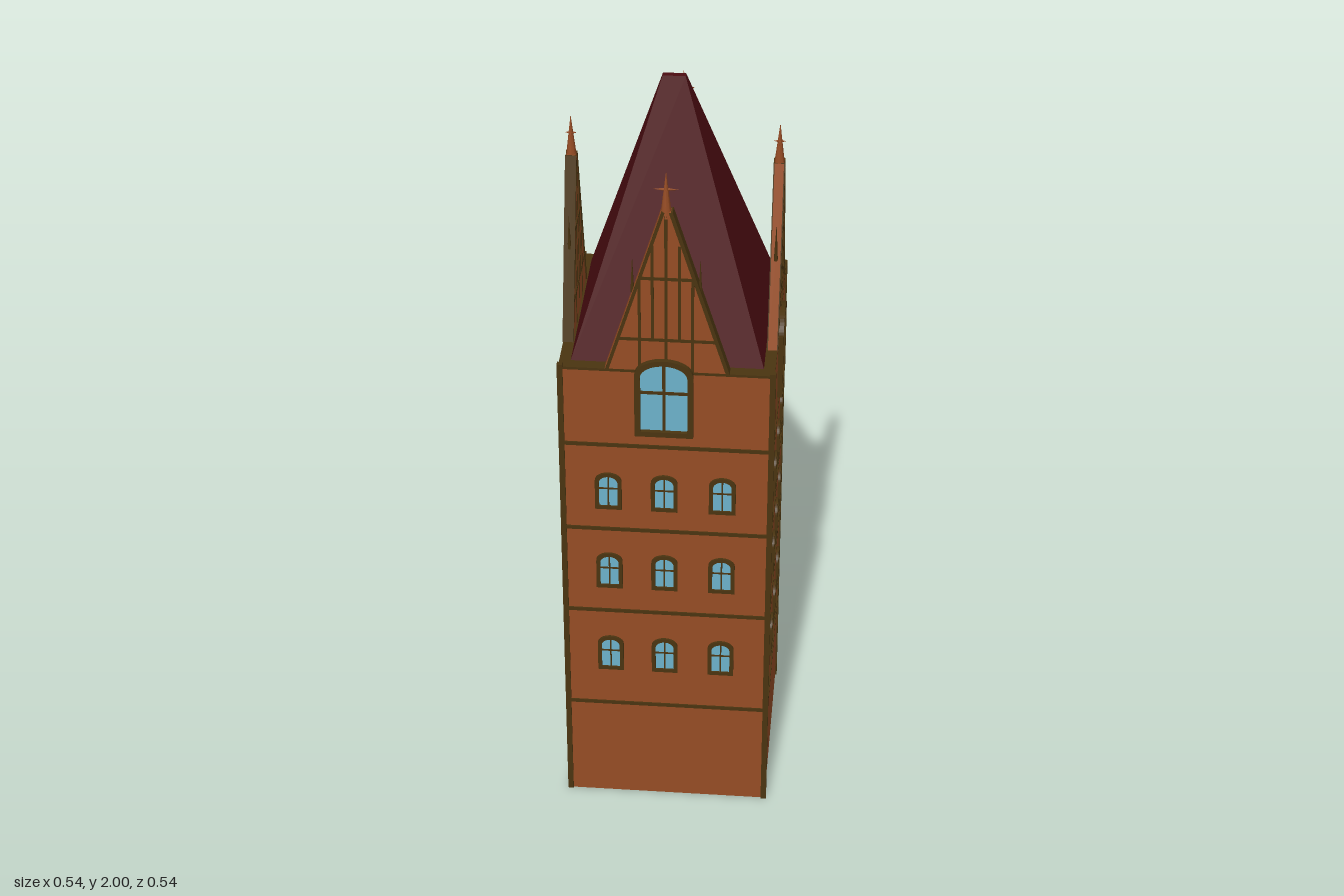
import * as THREE from 'three';

const mat = (name, color, side = THREE.FrontSide) => {
  const m = new THREE.MeshStandardMaterial({ color, side });
  m.name = name;
  return m;
};

export function createModel() {
  const brick = mat('brick', 0x964c24, THREE.DoubleSide);
  const timber = mat('timber', 0x4a3410);
  const glass = mat('glass', 0x6cb2ca);
  const tile = mat('roof tile', 0x4c0d11);

  const W = 0.2585;            // distance from the axis to each wall
  const EAVE = 1.34;           // top of the walls
  const GABLE = 0.022;         // gable thickness

  const add = (parent, name, geo, m, x = 0, y = 0, z = 0) => {
    const mesh = new THREE.Mesh(geo, m);
    mesh.name = name;
    mesh.position.set(x, y, z);
    parent.add(mesh);
    return mesh;
  };
  const box = (parent, name, w, h, d, m, x, y, z) =>
    add(parent, name, new THREE.BoxGeometry(w, h, d), m, x, y, z);

  // Rectangle with a low arched head, base centred on the origin
  const trace = (path, w, h, rise, y0 = 0) => {
    path.moveTo(-w / 2, y0);
    path.lineTo(w / 2, y0);
    path.lineTo(w / 2, h - rise);
    path.absellipse(0, h - rise, w / 2, rise, 0, Math.PI, false);
    path.lineTo(-w / 2, y0);
    return path;
  };

  // Arched window: projecting surround, pane and glazing bars
  const archWindow = (parent, name, x, y, w, h, rise, t, out, barY) => {
    const g = new THREE.Group();
    g.name = name;
    g.position.set(x, y, W);
    parent.add(g);
    const outer = trace(new THREE.Shape(), w, h, rise);
    outer.holes.push(trace(new THREE.Path(), w - 2 * t, h - t, rise * 0.8, t));
    add(g, 'surround', new THREE.ExtrudeGeometry(outer,
      { depth: out + 0.002, bevelEnabled: false, curveSegments: 10 }), timber, 0, 0, -0.002);
    const pane = trace(new THREE.Shape(), w - 1.6 * t, h - 0.8 * t, rise * 0.8, 0.8 * t);
    add(g, 'pane', new THREE.ShapeGeometry(pane, 10), glass, 0, 0, 0.002);
    const bar = w * 0.055;
    box(g, 'mullion', bar, h - t, 0.003, timber, 0, h / 2, 0.003);
    box(g, 'transom', w - t, bar, 0.003, timber, 0, barY, 0.003);
  };

  const buildGable = (side) => {
    const g = new THREE.Group();
    g.name = 'gable';
    side.add(g);
    const s = new THREE.Shape();
    s.moveTo(-0.148, EAVE);
    s.lineTo(0.148, EAVE);
    s.lineTo(0.012, 1.78);
    s.lineTo(-0.012, 1.78);
    const zc = W - GABLE / 2;
    add(g, 'gableWall', new THREE.ExtrudeGeometry(s, { depth: GABLE, bevelEnabled: false }),
      brick, 0, 0, W - GABLE);

    // Sloping trims: full coping on the right, face trim on the left
    const slope = Math.atan2(0.136, 0.44), len = Math.hypot(0.136, 0.44);
    box(g, 'rightCoping', 0.009, len, GABLE + 0.005, timber, 0.08, 1.56, zc).rotation.z = slope;
    box(g, 'leftTrim', 0.008, len, GABLE + 0.005, timber, -0.0745, 1.56, zc).rotation.z = -slope;

    // Half-timbering, visible on both faces
    for (const [x, y0, y1] of [[0, 1.375, 1.77], [-0.063, 1.34, 1.6], [0.063, 1.34, 1.6],
      [-0.032, 1.43, 1.69], [0.032, 1.43, 1.69]])
      box(g, 'stud', 0.007, y1 - y0, GABLE + 0.003, timber, x, (y0 + y1) / 2, zc);
    for (const [y, w] of [[1.43, 0.235], [1.6, 0.13]])
      box(g, 'rail', w, 0.008, GABLE + 0.003, timber, 0, y, zc);

    // Spire with a small cross of spikes
    add(g, 'spire', new THREE.ConeGeometry(0.014, 0.12, 8), brick, 0, 1.823, zc);
    for (let i = 0; i < 4; i++) {
      const l = i % 2 ? 0.014 : 0.03;
      const geo = new THREE.ConeGeometry(0.004, l, 6);
      geo.translate(0, l / 2, 0);
      geo.rotateZ(-Math.PI / 2);
      geo.rotateY(i * Math.PI / 2);
      add(g, 'finialSpike', geo, brick, 0, 1.835, zc);
    }
    // Thin pinnacles on the slopes
    for (const sx of [-1, 1])
      add(g, 'pinnacle', new THREE.ConeGeometry(0.005, 0.1, 6), timber, sx * 0.08, 1.605, zc);
  };

  const tower = new THREE.Group();
  tower.name = 'tower';
  tower.position.set(0.002, 0, -0.006);

  // Four identical sides turned about the axis
  const names = ['frontSide', 'leftSide', 'backSide', 'rightSide'];
  names.forEach((name, k) => {
    const side = new THREE.Group();
    side.name = name;
    side.rotation.y = k * Math.PI / 2;
    tower.add(side);

    add(side, 'wall', new THREE.PlaneGeometry(2 * W, EAVE), brick, 0, EAVE / 2, W);
    box(side, 'cornerPost', 0.014, EAVE + 0.008, 0.014, timber, W - 0.003, (EAVE + 0.008) / 2, W - 0.003);
    for (const y of [0.303, 0.607, 0.865, 1.12])
      box(side, 'band', 2 * W, 0.01, 0.008, timber, 0, y, W - 0.001);

    for (const y of [0.416, 0.682, 0.928])
      for (const x of [-0.143, -0.005, 0.138])
        archWindow(side, 'smallWindow', x, y, 0.066, 0.108, 0.024, 0.01, 0.006, 0.062);
    archWindow(side, 'largeWindow', -0.005, 1.157, 0.142, 0.22, 0.045, 0.014, 0.0125, 0.123);
    buildGable(side);
  });

  // Ledge around the foot of the roof
  const square = (p, r) => {
    p.moveTo(-r, -r); p.lineTo(r, -r); p.lineTo(r, r); p.lineTo(-r, r); p.lineTo(-r, -r);
    return p;
  };
  const ring = square(new THREE.Shape(), W + 0.001);
  ring.holes.push(square(new THREE.Path(), 0.222));
  add(tower, 'ledge', new THREE.ExtrudeGeometry(ring, { depth: 0.007, bevelEnabled: false }),
    timber, 0, EAVE - 0.005, 0).rotation.x = -Math.PI / 2;

  // Steep hipped roof: a box narrowed to a short ridge
  const roof = new THREE.BoxGeometry(0.465, 0.66, 0.461);
  const p = roof.attributes.position;
  for (let i = 0; i < p.count; i++)
    if (p.getY(i) > 0) {
      p.setX(i, Math.sign(p.getX(i)) * 0.027 - 0.002);
      p.setZ(i, Math.sign(p.getZ(i)) * 0.0075);
    }
  roof.computeVertexNormals();
  add(tower, 'roof', roof, tile, 0, EAVE + 0.33, 0);

  const model = new THREE.Group();
  model.name = 'gabledTower';
  model.add(tower);
  return model;
}
